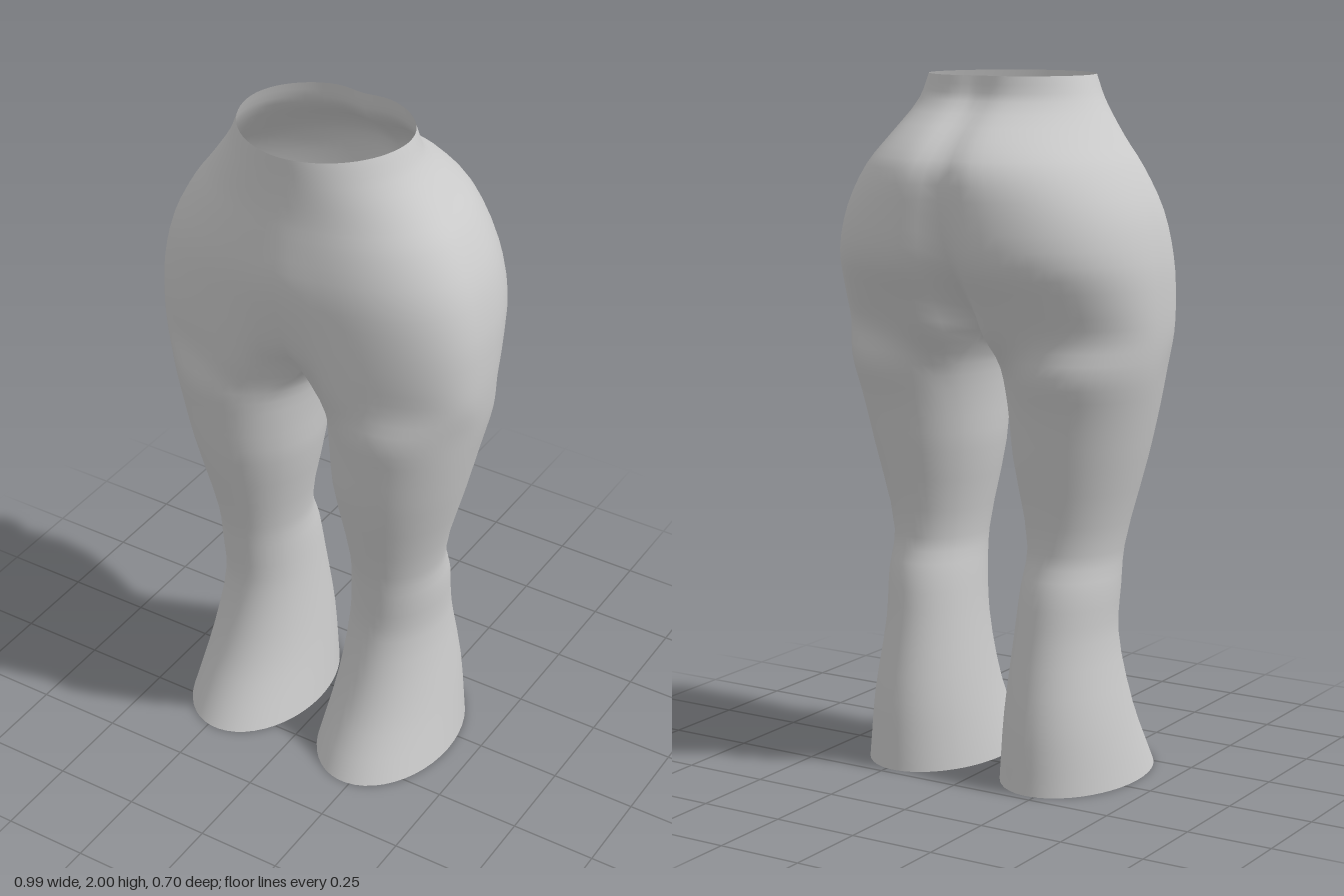
import * as THREE from 'three';
import { mergeVertices } from 'three/addons/utils/BufferGeometryUtils.js';

const OUTER = 36; // steps around the outside, front seam to back seam
const INNER = 14; // steps along the inner leg, back to front
const SUB = 3;    // steps between key sections

// Hips: y, half width, front z, back z, front seam z, back seam z, front roundness, back roundness
const HIPS = [
  [2.0, 0.245, 0.30, -0.138, 0.30, -0.118, 1.9, 2.0],
  [1.93, 0.275, 0.30, -0.155, 0.298, -0.135, 1.95, 2.0],
  [1.83, 0.342, 0.30, -0.28, 0.303, -0.25, 2.0, 2.0],
  [1.75, 0.400, 0.308, -0.345, 0.315, -0.315, 2.1, 2.1],
  [1.63, 0.460, 0.318, -0.355, 0.33, -0.315, 2.3, 2.3],
  [1.5, 0.490, 0.312, -0.345, 0.312, -0.27, 2.5, 2.4],
  [1.39, 0.497, 0.305, -0.288, 0.275, -0.18, 2.6, 2.4],
  [1.29, 0.495, 0.298, -0.238, 0.20, -0.10, 2.6, 2.4],
];

// Legs: y, inner x, outer x, front z, back z
const LEGS = [
  [1.19, 0.022, 0.483, 0.29, -0.208],
  [1.08, 0.037, 0.460, 0.276, -0.178],
  [0.93, 0.048, 0.425, 0.256, -0.15],
  [0.67, 0.095, 0.360, 0.20, -0.11],
  [0.56, 0.09, 0.360, 0.188, -0.145],
  [0.42, 0.08, 0.357, 0.185, -0.17],
  [0.2, 0.055, 0.390, 0.245, -0.212],
  [0.0, 0.028, 0.422, 0.352, -0.225],
];

// Half section of the hips, dipping inwards at the seams
function hipPoint([y, w, zf, zb, seamF, seamB, nf, nb], t) {
  const s = t === 0 || t === 1 ? 0 : Math.sin(Math.PI * t);
  const c = Math.cos(Math.PI * t);
  const n = c > 0 ? nf : nb;
  const mid = 0.06;
  const x = w * Math.pow(s, 2 / n);
  const reach = Math.pow(Math.abs(c), 2 / n);
  let z = mid + reach * (c > 0 ? zf - mid : zb - mid);
  const dipWidth = c > 0 ? 0.09 : 0.06;
  z += ((c > 0 ? seamF - zf : seamB - zb)) * Math.exp(-((x / dipWidth) ** 2));
  return new THREE.Vector3(x, y, z);
}

// Full oval section of one leg
function legPoint([y, xi, xo, zf, zb], degrees) {
  const a = THREE.MathUtils.degToRad(degrees);
  return new THREE.Vector3(
    (xi + xo) / 2 + ((xo - xi) / 2) * Math.sin(a), y,
    (zf + zb) / 2 + ((zf - zb) / 2) * Math.cos(a));
}

function smoothColumn(keys) {
  return new THREE.CatmullRomCurve3(keys, false, 'centripetal').getPoints((keys.length - 1) * SUB);
}

function createTrousersGeometry() {
  const columns = [];
  // Outside columns run from waist to hem
  for (let i = 0; i <= OUTER; i++) {
    const t = i / OUTER;
    const keys = HIPS.map((h) => hipPoint(h, t));
    LEGS.forEach((l) => keys.push(legPoint(l, -50 + 280 * t)));
    columns.push(smoothColumn(keys));
  }
  // Inside columns hang from the crotch seam
  const crotchRow = (HIPS.length - 1) * SUB;
  const last = HIPS[HIPS.length - 1];
  for (let i = 1; i < INNER; i++) {
    const t = i / INNER;
    const keys = [new THREE.Vector3(0, last[0] - 0.055 * Math.sin(Math.PI * t),
      THREE.MathUtils.lerp(last[5], last[4], t))];
    LEGS.forEach((l) => keys.push(legPoint(l, 230 + 80 * t)));
    columns.push([...new Array(crotchRow), ...smoothColumn(keys)]);
  }
  // The seam columns stay exactly on the centre line
  for (const c of [0, OUTER]) {
    for (let r = 0; r <= crotchRow; r++) columns[c][r].x = 0;
  }

  const positions = [];
  const triangle = (...points) => {
    for (const p of points) positions.push(p.x, p.y, p.z);
    for (const p of points.reverse()) positions.push(-p.x, p.y, p.z);
  };
  const rows = columns[0].length;
  for (let r = 0; r < rows - 1; r++) {
    const count = r < crotchRow ? OUTER : columns.length;
    for (let i = 0; i < count; i++) {
      const left = columns[i];
      const right = columns[(i + 1) % columns.length];
      triangle(left[r], left[r + 1], right[r + 1]);
      triangle(left[r], right[r + 1], right[r]);
    }
  }
  const raw = new THREE.BufferGeometry();
  raw.setAttribute('position', new THREE.Float32BufferAttribute(positions, 3));
  const geometry = mergeVertices(raw, 1e-5);
  geometry.computeVertexNormals();
  return geometry;
}

export function createModel() {
  const group = new THREE.Group();
  group.name = 'flaredTrousers';
  const material = new THREE.MeshStandardMaterial({ color: 0xcccccc, side: THREE.DoubleSide });
  const trousers = new THREE.Mesh(createTrousersGeometry(), material);
  trousers.name = 'trousers';
  group.add(trousers);
  return group;
}
